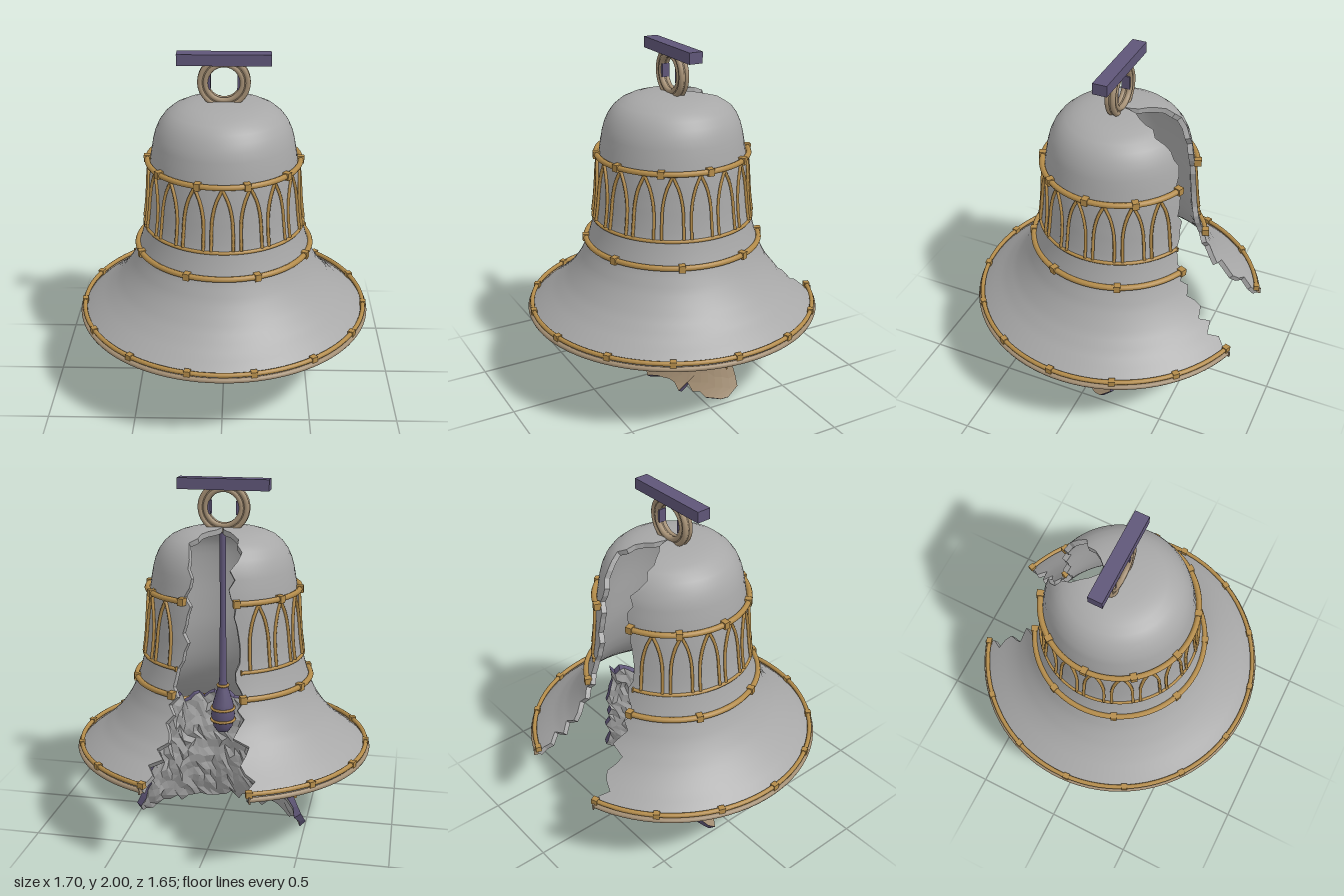
import * as THREE from 'three';

const mat = (name, color, side = THREE.FrontSide) => {
  const m = new THREE.MeshStandardMaterial({ color, side });
  m.name = name;
  return m;
};
const D = Math.PI / 180;
const AXIS_Z = -0.025;

// Small seeded random source for the broken edges
function seeded(seed) {
  let s = seed;
  return () => ((s = (s * 16807) % 2147483647) / 2147483647);
}

// Bell profile (radius, height), crown to lip
const profile = new THREE.SplineCurve([
  [0.004, 1.735], [0.12, 1.73], [0.22, 1.715], [0.3, 1.68], [0.355, 1.62], [0.385, 1.55],
  [0.405, 1.45], [0.418, 1.35], [0.43, 1.2], [0.447, 1.05], [0.485, 0.9], [0.535, 0.78],
  [0.61, 0.67], [0.7, 0.58], [0.79, 0.51], [0.83, 0.475],
].map(([r, y]) => new THREE.Vector2(r, y)));

// Arc position on the profile at a given height
function sAt(y) {
  let lo = 0, hi = 1;
  for (let i = 0; i < 24; i++) {
    const m = (lo + hi) / 2;
    if (profile.getPointAt(m).y > y) lo = m; else hi = m;
  }
  return lo;
}

// Point on the bell wall: angle from the front, arc position, outward offset
function wallPoint(theta, s, off = 0) {
  const p = profile.getPointAt(s), t = profile.getTangentAt(s);
  const r = Math.max(0.002, p.x - t.y * off);
  return new THREE.Vector3(r * Math.sin(theta), p.y + t.x * off, r * Math.cos(theta));
}

// Thick piece of wall: outer face, inner face and broken rim, each its own mesh
function wallSlab(name, nu, nv, place, depth, mats, flat) {
  const outer = [], inner = [], idx = [], idxIn = [], rim = [];
  for (let j = 0; j <= nv; j++) for (let i = 0; i <= nu; i++) {
    const [theta, s] = place(i, j);
    outer.push(wallPoint(theta, s));
    inner.push(wallPoint(theta, s, -depth(i, j)));
  }
  const at = (i, j) => j * (nu + 1) + i;
  for (let j = 0; j < nv; j++) for (let i = 0; i < nu; i++) {
    const a = at(i, j), b = at(i, j + 1), c = at(i + 1, j), d = at(i + 1, j + 1);
    idx.push(a, b, c, c, b, d);
    idxIn.push(a, c, b, c, d, b);
  }
  const loop = [];
  for (let i = 0; i < nu; i++) loop.push(at(i, 0));
  for (let j = 0; j < nv; j++) loop.push(at(nu, j));
  for (let i = nu; i > 0; i--) loop.push(at(i, nv));
  for (let j = nv; j > 0; j--) loop.push(at(0, j));
  loop.forEach((a, k) => {
    const b = loop[(k + 1) % loop.length];
    rim.push(outer[a], outer[b], inner[a], inner[a], outer[b], inner[b]);
  });
  const build = (pts, index) => {
    let g = new THREE.BufferGeometry().setFromPoints(pts);
    if (index) g.setIndex(index);
    if (index && flat) g = g.toNonIndexed();
    g.computeVertexNormals();
    return g;
  };
  const group = new THREE.Group();
  group.name = name;
  [['OuterFace', build(outer, idx)], ['InnerFace', build(inner, idxIn)], ['BrokenRim', build(rim)]]
    .forEach(([part, g], k) => {
      const m = new THREE.Mesh(g, mats[k]);
      m.name = name + part;
      group.add(m);
    });
  return group;
}

export function createModel() {
  const stone = mat('bell grey', 0xa8a8a8);
  const stoneEdge = mat('bell grey edge', 0xa8a8a8, THREE.DoubleSide);
  const gold = mat('gold trim', 0xb48c4a);
  const tan = mat('dull bronze', 0xa48f74);
  const purple = mat('dark purple', 0x5f5678);
  const purpleEdge = mat('dark purple edge', 0x5f5678, THREE.DoubleSide);

  const model = new THREE.Group();
  model.name = 'brokenBell';
  const add = (parent, name, geo, m, x = 0, y = 0, z = 0) => {
    const mesh = new THREE.Mesh(geo, m);
    mesh.name = name;
    mesh.position.set(x, y, z);
    parent.add(mesh);
    return mesh;
  };

  // Open ring around the bell, with collars spread along it
  function band(parent, name, r, y, tube, half, beads, m = gold) {
    const g = new THREE.TorusGeometry(r, tube, 8, 80, half * 2 * D);
    g.rotateZ(Math.PI / 2 - half * D).rotateX(Math.PI / 2);
    add(parent, name, g, m, 0, y, 0);
    for (let k = 0; k < beads; k++) {
      const a = (-half + (2 * half * k) / (beads - 1)) * D;
      const size = tube * 2.5;
      const b = add(parent, name + 'Collar', new THREE.BoxGeometry(beads > 2 ? 0.035 : 0.008, size, size), m,
        r * Math.sin(a), y, r * Math.cos(a));
      b.rotation.y = a;
    }
  }

  // Row of pointed arches on the wall
  function arches(parent, count) {
    for (let k = -count; k <= count; k++) {
      const pts = [[-7.5, 1.04], [-7.5, 1.13], [-7, 1.22], [-4.5, 1.31], [0, 1.385]];
      for (const side of [-1, 1]) {
        const path = new THREE.CatmullRomCurve3(
          pts.map(([a, y]) => wallPoint((k * 20.5 + side * a) * D, sAt(y), 0.008)));
        add(parent, 'archRib', new THREE.TubeGeometry(path, 10, 0.009, 6), gold);
      }
    }
  }

  // Main bell wall, torn open at the back
  const bell = new THREE.Group();
  bell.name = 'bell';
  bell.position.z = AXIS_Z;
  model.add(bell);
  const rnd = seeded(77);
  const NU = 72, NV = 34;
  const gaps = [[0, 1], [0.05, 10], [0.1, 24], [0.2, 27], [0.3, 16], [0.45, 18], [0.62, 21], [0.8, 20], [1, 19.5]];
  const gapAt = (s) => {
    const k = Math.max(1, gaps.findIndex((g) => g[0] >= s));
    const [a, b] = [gaps[k - 1], gaps[k]];
    return a[1] + ((b[1] - a[1]) * (s - a[0])) / (b[0] - a[0]);
  };
  const tears = Array.from({ length: NV + 1 }, (_, j) => [0, 1].map(() =>
    (180 - gapAt(j / NV) + (j > 2 && j < NV - 1 ? (rnd() - 0.5) * 8 : 0)) * D));
  bell.add(wallSlab('bellWall', NU, NV,
    (i, j) => [THREE.MathUtils.lerp(-tears[j][0], tears[j][1], i / NU), j / NV],
    () => 0.03, [stone, stone, stoneEdge], false));
  band(bell, 'upperBand', 0.428, 1.4, 0.016, 160, 10);
  band(bell, 'archSillBand', 0.453, 1.03, 0.01, 157, 2);
  band(bell, 'waistBand', 0.498, 0.895, 0.016, 157, 8);
  band(bell, 'lipBand', 0.825, 0.505, 0.013, 160, 14);
  band(bell, 'lipEdge', 0.835, 0.478, 0.014, 160, 2, tan);
  arches(bell, 7);

  // Loose shard of wall, dropped inside the bell
  const shard = new THREE.Group();
  shard.name = 'shard';
  shard.position.set(0, -0.69, -0.385);
  model.add(shard);
  const SU = 30, SV = 14;
  const jag = (n, lo, hi) => Array.from({ length: n + 1 }, () => lo + rnd() * (hi - lo));
  const top = jag(SU, 1.4, 1.47), foot = jag(SU, 0.715, 0.785);
  const left = jag(SV, 62, 70), right = jag(SV, 62, 70);
  const depths = jag((SU + 1) * (SV + 1), 0.025, 0.05);
  shard.add(wallSlab('shardWall', SU, SV, (i, j) => {
    const y = THREE.MathUtils.lerp(top[i], foot[i], j / SV);
    return [THREE.MathUtils.lerp(-left[j], right[j], i / SU) * D, sAt(y)];
  }, (i, j) => depths[j * (SU + 1) + i], [tan, stone, purpleEdge], true));
  band(shard, 'shardTopBand', 0.428, 1.4, 0.014, 56, 4);
  band(shard, 'shardSillBand', 0.453, 1.03, 0.014, 61, 2);
  band(shard, 'shardLowBand', 0.498, 0.895, 0.014, 61, 2);
  arches(shard, 2);

  // Clapper
  const clapper = new THREE.Group();
  clapper.name = 'clapper';
  clapper.position.z = -0.055;
  model.add(clapper);
  add(clapper, 'clapperBody', new THREE.LatheGeometry(
    [[0, 0.53], [0.035, 0.54], [0.055, 0.57], [0.07, 0.64], [0.06, 0.71], [0.035, 0.79], [0.022, 0.85],
      [0.018, 1.2], [0.018, 1.71]].map(([r, y]) => new THREE.Vector2(r, y)), 16), purple);
  for (const [r, y] of [[0.068, 0.61], [0.066, 0.68], [0.03, 0.82]])
    add(clapper, 'clapperRing', new THREE.TorusGeometry(r, 0.008, 6, 20).rotateX(Math.PI / 2), gold, 0, y, 0);

  // Hanging ring made of ridged hoops, with inner pads
  const hanger = new THREE.Group();
  hanger.name = 'hanger';
  hanger.position.set(0, 1.84, AXIS_Z);
  model.add(hanger);
  for (const [r, z, t] of [[0.115, 0, 0.025], [0.13, 0.015, 0.015], [0.13, -0.015, 0.015], [0.1, 0.015, 0.015], [0.1, -0.015, 0.015]])
    add(hanger, 'hangingRing', new THREE.TorusGeometry(r, t, 10, 40), tan, 0, 0, z);
  for (const side of [-1, 1])
    add(hanger, 'ringPad', new THREE.BoxGeometry(0.02, 0.075, 0.045), purple, side * 0.082, 0, 0);

  // Support bar
  add(model, 'supportBar', new THREE.BoxGeometry(0.51, 0.062, 0.08), purple, 0, 1.969, AXIS_Z);
  return model;
}
